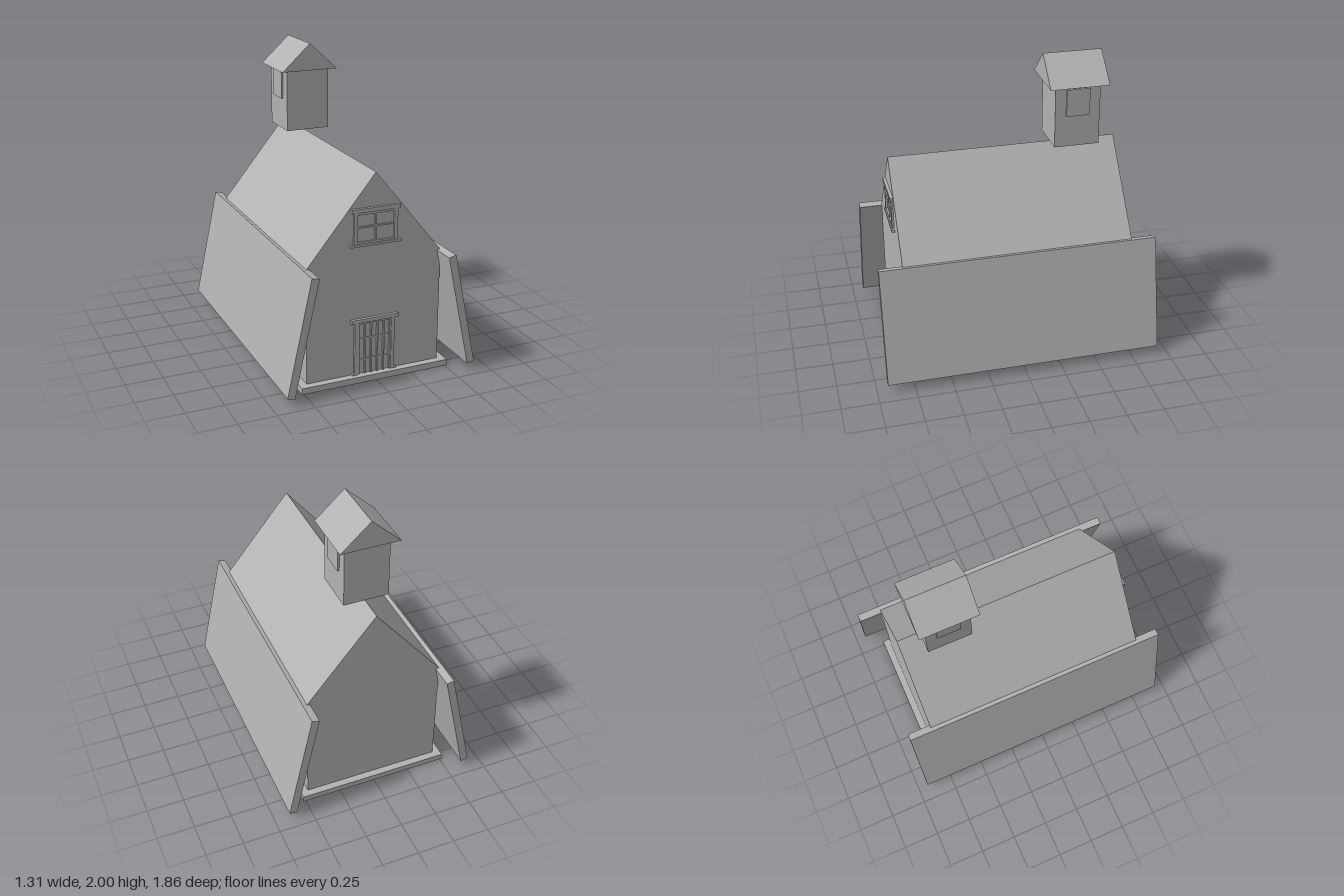
import * as THREE from 'three';

const grey = new THREE.MeshStandardMaterial({ color: 0xb2b2b2 });
grey.name = 'plain grey';

// Box given by its limits on each axis
function box(parent, name, [x0, x1], [y0, y1], [z0, z1]) {
  const mesh = new THREE.Mesh(new THREE.BoxGeometry(x1 - x0, y1 - y0, z1 - z0), grey);
  mesh.position.set((x0 + x1) / 2, (y0 + y1) / 2, (z0 + z1) / 2);
  mesh.name = name;
  parent.add(mesh);
  return mesh;
}

// Outline in x and y, extended along z
function prism(parent, name, points, z0, z1) {
  const shape = new THREE.Shape(points.map(([x, y]) => new THREE.Vector2(x, y)));
  const geometry = new THREE.ExtrudeGeometry(shape, { depth: z1 - z0, bevelEnabled: false });
  geometry.translate(0, 0, z0);
  const mesh = new THREE.Mesh(geometry, grey);
  mesh.name = name;
  parent.add(mesh);
  return mesh;
}

// Window facing +z, its back on z = 0 and the bottom of its sill on y = 0
function makeWindow(name, halfWidth, height) {
  const g = new THREE.Group();
  g.name = name;
  const w = halfWidth, top = height - 0.025;
  box(g, 'sill', [-w - 0.025, w + 0.025], [0, 0.015], [0, 0.02]);
  box(g, 'lintel', [-w - 0.015, w + 0.015], [top, height], [0, 0.02]);
  for (const s of [-1, 1]) {
    const x = s * (w - 0.012);
    box(g, 'windowPost', [x - 0.012, x + 0.012], [0.015, top], [0, 0.014]);
  }
  box(g, 'topRail', [-w + 0.024, w - 0.024], [top - 0.016, top], [0, 0.012]);
  box(g, 'bottomRail', [-w + 0.024, w - 0.024], [0.015, 0.028], [0, 0.012]);
  box(g, 'verticalBar', [-0.006, 0.006], [0.028, top - 0.016], [0, 0.01]);
  box(g, 'crossBar', [-w + 0.024, w - 0.024], [height / 2 - 0.005, height / 2 + 0.005], [0, 0.008]);
  return g;
}

// Front door with a frame and upright slats
function makeDoor() {
  const g = new THREE.Group();
  g.name = 'door';
  box(g, 'doorLintel', [-0.163, 0.163], [0.36, 0.385], [0, 0.02]);
  box(g, 'doorTopRail', [-0.116, 0.116], [0.348, 0.36], [0, 0.012]);
  for (const s of [-1, 1]) {
    const x = s * 0.128;
    box(g, 'doorPost', [x - 0.012, x + 0.012], [0, 0.36], [0, 0.016]);
    box(g, 'postFoot', [x + s * 0.02 - 0.008, x + s * 0.02 + 0.008], [0, 0.012], [0, 0.016]);
  }
  for (let i = 0; i < 6; i++) {
    const x = -0.11 + i * 0.044;
    box(g, 'doorSlat', [x - 0.005, x + 0.005], [0, 0.348], [0, 0.012]);
  }
  for (const y of [0.1, 0.245]) box(g, 'doorCrossBar', [-0.11, 0.11], [y - 0.004, y + 0.004], [0, 0.007]);
  return g;
}

export function createModel() {
  const model = new THREE.Group();
  model.name = 'barn';

  // Floor slab and gabled hall
  box(model, 'floorSlab', [-0.515, 0.515], [0, 0.042], [-0.82, 0.82]);
  prism(model, 'hall', [[-0.465, 0.042], [0.465, 0.042], [0.465, 0.81], [0, 1.38], [-0.465, 0.81]], -0.772, 0.772);

  // Leaning side panels, with windows behind them
  for (const s of [-1, 1]) {
    const outline = [[0.605, 0.045], [0.655, 0.056], [0.491, 0.82], [0.441, 0.808]];
    const points = outline.map(([x, y]) => [s * x, y]);
    prism(model, s > 0 ? 'leftSidePanel' : 'rightSidePanel', points, -0.93, 0.93);
    for (const z of [-0.38, 0.38]) {
      const side = makeWindow('sideWindow', 0.17, 0.42);
      side.position.set(s * 0.465, 0.28, z);
      side.rotation.y = s * Math.PI / 2;
      model.add(side);
    }
  }

  // Front openings
  const loft = makeWindow('loftWindow', 0.15, 0.245);
  loft.position.set(0, 0.915, 0.772);
  const door = makeDoor();
  door.position.set(0, 0.042, 0.772);
  model.add(loft, door);

  // Small tower hovering just above the ridge
  const tower = new THREE.Group();
  tower.name = 'tower';
  box(tower, 'towerWalls', [-0.152, 0.152], [1.396, 1.816], [-0.617, -0.313]);
  prism(tower, 'towerRoof', [[-0.2, 1.816], [0.2, 1.816], [0, 2]], -0.665, -0.267);
  for (const s of [-1, 1]) {
    const x = s * 0.157;
    box(tower, 'towerShutter', [x - 0.007, x + 0.007], [1.61, 1.795], [-0.545, -0.387]);
  }
  model.add(tower);
  return model;
}
